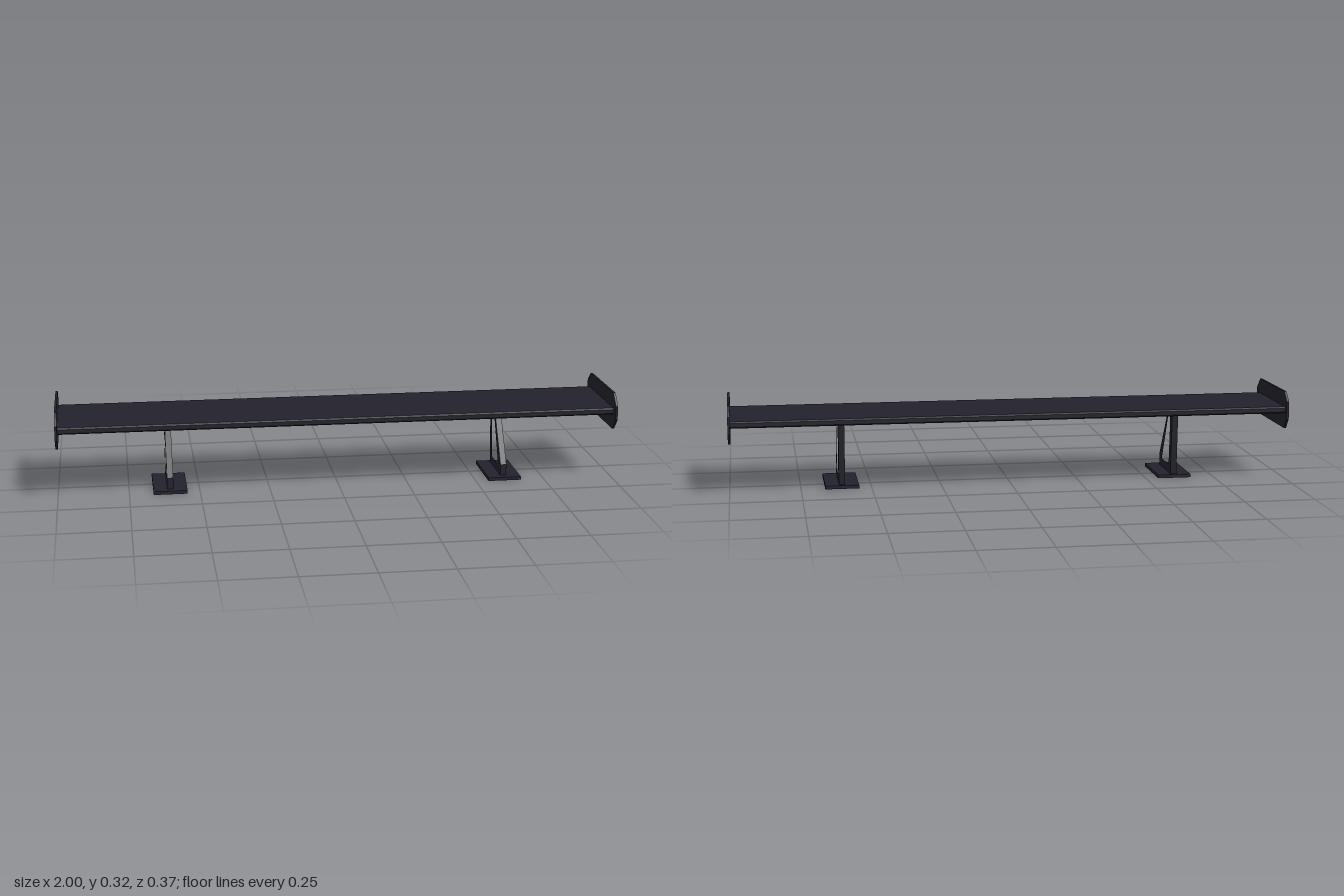
import * as THREE from 'three';

// Outline from [z, y] points
function outline(points, Type = THREE.Shape) {
  return new Type(points.map(([z, y]) => new THREE.Vector2(-z, y)));
}

// Extrude a side outline across x, centred on x = 0
function extrudeSide(shape, width) {
  const g = new THREE.ExtrudeGeometry(shape, { depth: width, bevelEnabled: false, curveSegments: 4 });
  g.translate(0, 0, -width / 2);
  g.rotateY(Math.PI / 2);
  return g;
}

// Closed path with every corner rounded by radius r
function roundedPath(points, r) {
  const v = points.map(([z, y]) => new THREE.Vector2(-z, y));
  const path = new THREE.Path();
  v.forEach((p, i) => {
    const toward = (q) => q.clone().sub(p).setLength(r).add(p);
    const a = toward(v[(i + v.length - 1) % v.length]);
    const b = toward(v[(i + 1) % v.length]);
    if (i === 0) path.moveTo(a.x, a.y);
    else path.lineTo(a.x, a.y);
    path.quadraticCurveTo(p.x, p.y, b.x, b.y);
  });
  path.closePath();
  return path;
}

export function createModel() {
  const group = new THREE.Group();
  const dark = new THREE.MeshStandardMaterial({ color: 0x23222d });
  dark.name = 'dark charcoal';

  const add = (parent, name, geometry, x = 0, y = 0, z = 0) => {
    const mesh = new THREE.Mesh(geometry, dark);
    mesh.name = name;
    mesh.position.set(x, y, z);
    parent.add(mesh);
  };

  // Flat blade with softened leading and trailing edges
  const blade = outline([
    [0.16, 0.247], [0.16, 0.261], [0.154, 0.266], [-0.159, 0.266],
    [-0.165, 0.261], [-0.165, 0.247], [-0.159, 0.242], [0.154, 0.242],
  ]);
  add(group, 'wingBlade', extrudeSide(blade, 1.986));

  // Clipped-corner end plate
  const plateGeometry = extrudeSide(outline([
    [0.146, 0.32], [-0.15, 0.32], [-0.185, 0.287], [-0.185, 0.225],
    [-0.157, 0.187], [0.147, 0.187], [0.185, 0.228], [0.185, 0.28],
  ]), 0.008);

  // Upright with a tapering window between its two legs
  const upright = outline([
    [0.1, 0.01], [0.1, 0.053], [-0.021, 0.243], [-0.084, 0.243], [-0.072, 0.01],
  ]);
  upright.holes.push(roundedPath([
    [0.062, 0.042], [-0.025, 0.222], [-0.055, 0.222], [-0.042, 0.042],
  ], 0.008));
  const uprightGeometry = extrudeSide(upright, 0.022);
  const footGeometry = new THREE.BoxGeometry(0.12, 0.012, 0.215);

  for (const [side, s] of [['left', 1], ['right', -1]]) {
    add(group, side + 'EndPlate', plateGeometry, s * 0.996);
    const stand = new THREE.Group();
    stand.name = side + 'Stand';
    stand.position.x = s * 0.605;
    add(stand, 'upright', uprightGeometry);
    add(stand, 'footPlate', footGeometry, 0, 0.006, 0.0195);
    group.add(stand);
  }
  return group;
}
